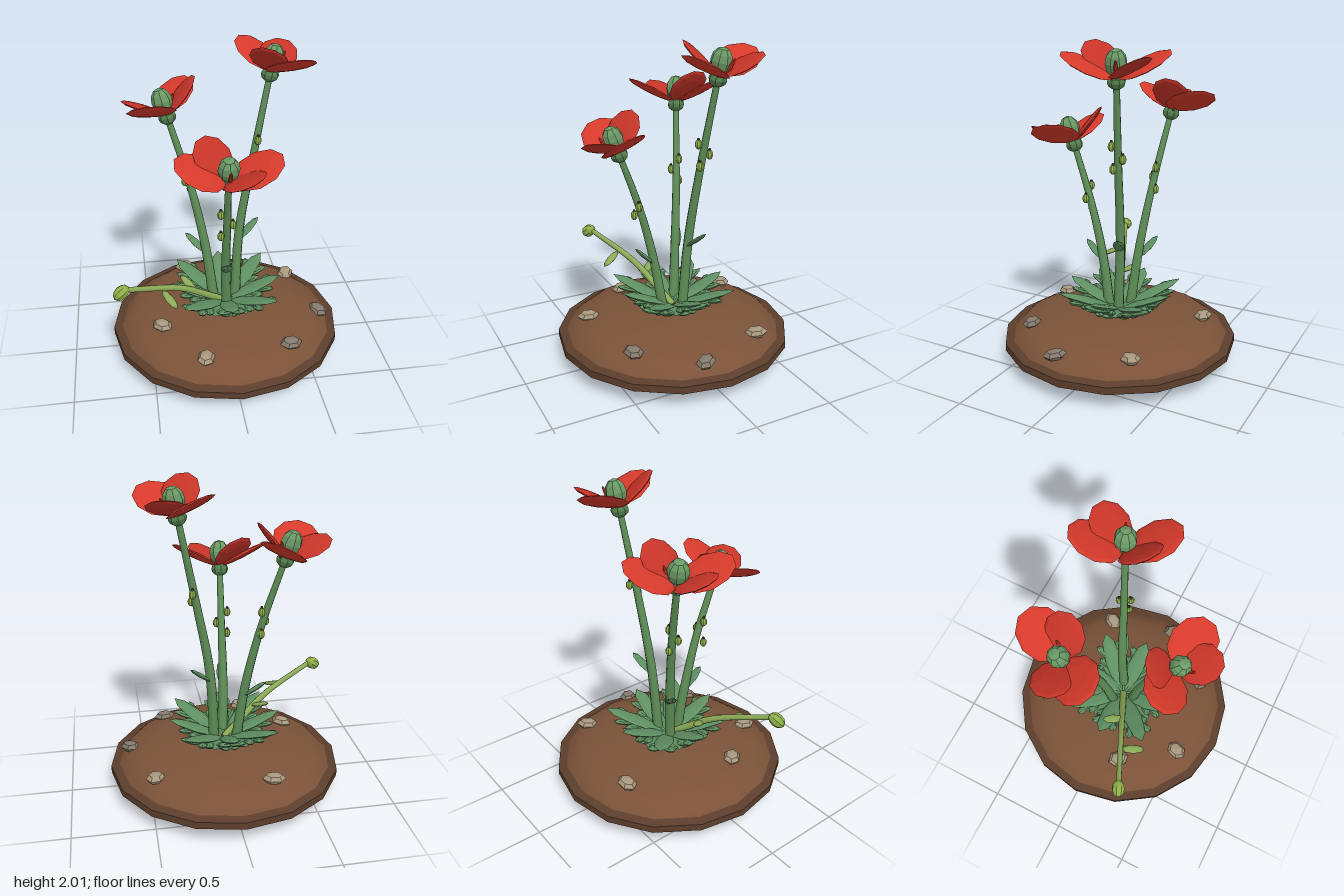
import * as THREE from 'three';
import { toCreasedNormals } from 'three/addons/utils/BufferGeometryUtils.js';

const V = (x, y, z) => new THREE.Vector3(x, y, z);
const UP = V(0, 1, 0);
const paint = (color, flatShading = true) =>
  new THREE.MeshStandardMaterial({ color, flatShading, side: THREE.DoubleSide });

const MAT = {
  soil: paint(0x7a5238, false), rim: paint(0x5c3e2c, false), under: paint(0x4a3224, false),
  stem: paint(0x5f8f58, false), leaf: paint(0x5f8f62), pod: paint(0x6b9a66), calyx: paint(0x55804f),
  petal: paint(0xd63a2b), inner: paint(0xc63428), lime: paint(0x8fb04a), young: paint(0x8cab58, false),
  tip: paint(0x3c3a20), tan: paint(0xa8987f), grey: paint(0x857a6d),
};

// Unit ellipsoids: y runs along the part, x is its width, z its thickness
const disc = new THREE.SphereGeometry(1, 10, 6).rotateX(Math.PI / 2);
const blade = new THREE.SphereGeometry(1, 8, 4).rotateX(Math.PI / 2);
const egg = new THREE.SphereGeometry(1, 8, 6);
const pebble = new THREE.SphereGeometry(1, 6, 4);

// Places a part with its length along axis and its thin side facing normal
function place(parent, name, geo, mat, pos, size, axis = UP, normal = V(0, 0, 1)) {
  const y = axis.clone().normalize();
  let x = y.clone().cross(normal);
  if (x.lengthSq() < 1e-4) x = y.clone().cross(V(1, 0, 0));
  x.normalize();
  const z = x.clone().cross(y);
  const m = new THREE.Mesh(geo, mat);
  m.name = name;
  m.position.copy(pos);
  m.quaternion.setFromRotationMatrix(new THREE.Matrix4().makeBasis(x, y, z));
  m.scale.set(...size);
  parent.add(m);
  return m;
}

// Flat leaf stretched between two points, facing upwards
function leafBetween(parent, name, mat, a, b, width, thick = 0.014) {
  const d = b.clone().sub(a);
  place(parent, name, blade, mat, a.clone().lerp(b, 0.5), [width, d.length() / 2, thick], d, UP);
}

// Tapered round stem through a few points
function stem(parent, name, mat, points, r0, r1) {
  const curve = new THREE.CatmullRomCurve3(points);
  const N = 12, R = 8;
  const geo = new THREE.TubeGeometry(curve, N, 1, R, false);
  const p = geo.attributes.position;
  for (let i = 0; i <= N; i++) {
    const c = curve.getPointAt(i / N), r = r0 + (r1 - r0) * (i / N);
    for (let j = 0; j <= R; j++) {
      const k = i * (R + 1) + j;
      const v = V().fromBufferAttribute(p, k).sub(c).multiplyScalar(r).add(c);
      p.setXYZ(k, v.x, v.y, v.z);
    }
  }
  const m = new THREE.Mesh(geo, mat);
  m.name = name;
  parent.add(m);
  return curve;
}

function lathe(parent, name, mat, profile) {
  const geo = new THREE.LatheGeometry(profile.map(([r, y]) => new THREE.Vector2(r, y)), 16);
  const m = new THREE.Mesh(toCreasedNormals(geo, 0.5), mat);
  m.name = name;
  parent.add(m);
}

function flower(name, f) {
  const g = new THREE.Group();
  g.name = name;
  const curve = stem(g, 'flowerStem', MAT.stem, f.path, 0.034, 0.019);
  const u = curve.getTangentAt(1);
  const base = f.path[f.path.length - 1].clone();
  place(g, 'calyx', egg, MAT.calyx, base.clone().addScaledVector(u, 0.01), [0.055, 0.045, 0.055], u);
  place(g, 'seedPod', egg, MAT.pod, base.clone().addScaledVector(u, 0.115), [0.064, 0.08, 0.064], u);

  // Wide outer pair and steeper inner pair of petals
  const root = base.clone().addScaledVector(u, 0.025);
  for (const [turn, lift, length, width, mat] of [
    [0, 26, 0.33, 0.142, MAT.petal], [180, 26, 0.33, 0.142, MAT.petal],
    [52, 36, 0.28, 0.122, MAT.inner], [232, 36, 0.28, 0.122, MAT.inner]]) {
    const a = THREE.MathUtils.degToRad(f.yaw + turn), e = THREE.MathUtils.degToRad(lift);
    const out = V(Math.cos(a), 0, Math.sin(a)).projectOnPlane(u).normalize();
    const dir = out.clone().multiplyScalar(Math.cos(e)).addScaledVector(u, Math.sin(e));
    const nrm = u.clone().multiplyScalar(Math.cos(e)).addScaledVector(out, -Math.sin(e));
    place(g, 'petal', disc, mat, root.clone().addScaledVector(dir, length / 2 + 0.01),
      [width, length / 2, 0.018], dir, nrm);
  }

  // Single filament beside the pod
  const side = f.filament.clone().normalize();
  place(g, 'filament', egg, MAT.petal, root.clone().addScaledVector(u, 0.06).addScaledVector(side, 0.066),
    [0.012, 0.06, 0.012], u.clone().addScaledVector(side, 0.35));

  // Seed buds and one leaf along the stem
  for (const [x, y, z] of f.buds) {
    place(g, 'seedBud', egg, MAT.lime, V(x, y, z), [0.022, 0.03, 0.022]);
    place(g, 'seedBudTip', egg, MAT.tip, V(x, y + 0.03, z), [0.009, 0.009, 0.009]);
  }
  leafBetween(g, 'stemLeaf', MAT.leaf, f.leaf[0], f.leaf[1], 0.036);
  return g;
}

// One lobed ground leaf pointing outwards
function groundLeaf(parent, angle, reach, rise) {
  const g = new THREE.Group();
  g.name = 'groundLeaf';
  const out = V(Math.cos(angle), 0, Math.sin(angle));
  const side = V(-out.z, 0, out.x);
  const at = (t, s) => out.clone().multiplyScalar(t * reach).addScaledVector(side, s)
    .add(V(0, 0.31 + rise * t * t, 0));
  leafBetween(g, 'leafBlade', MAT.leaf, at(0.05, 0), at(1, 0), 0.06, 0.018);
  for (const s of [-1, 1])
    for (const t of [0.3, 0.5, 0.68])
      leafBetween(g, 'leafLobe', MAT.leaf, at(t - 0.1, 0), at(t + 0.17, s * 0.085), 0.03, 0.016);
  parent.add(g);
}

export function createModel() {
  const model = new THREE.Group();
  model.name = 'pottedFlowerPatch';

  // Round earth base
  lathe(model, 'baseUnderside', MAT.under, [[0, 0], [0.35, 0.025], [0.56, 0.055], [0.74, 0.11]]);
  lathe(model, 'baseRim', MAT.rim, [[0.74, 0.11], [0.74, 0.155], [0.685, 0.165]]);
  lathe(model, 'soilMound', MAT.soil,
    [[0.685, 0.165], [0.65, 0.2], [0.6, 0.235], [0.46, 0.266], [0.22, 0.292], [0, 0.3]]);

  // Stones around the mound
  [[-0.22, 0.27, -0.49, MAT.tan], [0.48, 0.25, -0.33, MAT.tan], [0.61, 0.23, 0.1, MAT.grey],
    [0.35, 0.25, 0.44, MAT.grey], [-0.19, 0.255, 0.51, MAT.tan], [-0.43, 0.275, 0.18, MAT.tan],
  ].forEach(([x, y, z, mat], i) => {
    place(model, 'stone', pebble, mat, V(x, y, z), [0.072, 0.032, 0.055]).rotation.set(0.08, i * 1.1, 0.05);
  });

  // Leaf rosette: long leaves with short ones between them
  const rosette = new THREE.Group();
  rosette.name = 'leafRosette';
  for (let i = 0; i < 8; i++) {
    const a = (i * Math.PI) / 4;
    groundLeaf(rosette, a, i % 2 ? 0.41 : 0.36, 0.15);
    groundLeaf(rosette, a + Math.PI / 8, 0.27, 0.05);
  }
  model.add(rosette);

  // Three open flowers
  model.add(flower('tallFlower', {
    path: [V(0.07, 0.29, -0.03), V(0.1, 0.8, -0.06), V(0.18, 1.25, -0.09), V(0.285, 1.785, -0.135)],
    yaw: -118, filament: V(1, 0, -0.5),
    buds: [[0.21, 1.41, -0.06], [0.21, 1.34, -0.135], [0.21, 1.275, -0.07]],
    leaf: [V(0.09, 0.73, -0.05), V(0.23, 0.85, -0.11)],
  }));
  model.add(flower('leftFlower', {
    path: [V(-0.07, 0.29, -0.04), V(-0.12, 0.7, -0.08), V(-0.2, 1.1, -0.13), V(-0.32, 1.53, -0.19)],
    yaw: -62, filament: V(1, 0, -0.6),
    buds: [[-0.2, 1.21, -0.15], [-0.235, 1.14, -0.11], [-0.2, 1.07, -0.15]],
    leaf: [V(-0.11, 0.63, -0.08), V(-0.24, 0.75, -0.15)],
  }));
  model.add(flower('frontFlower', {
    path: [V(0, 0.29, 0.07), V(-0.015, 0.65, 0.13), V(-0.02, 1.0, 0.22), V(-0.03, 1.33, 0.335)],
    yaw: 183, filament: V(0, 0, 1),
    buds: [[-0.06, 1.08, 0.235], [0.012, 1.01, 0.235], [-0.06, 0.935, 0.235]],
    leaf: [V(-0.015, 0.61, 0.13), V(-0.02, 0.73, 0.25)],
  }));

  // Unopened flower on a leaning stalk
  const young = new THREE.Group();
  young.name = 'youngBud';
  const stalk = [V(0, 0.3, 0), V(-0.13, 0.4, 0.06), V(-0.3, 0.52, 0.138), V(-0.64, 0.65, 0.295)];
  stem(young, 'budStalk', MAT.young, stalk, 0.024, 0.016);
  place(young, 'closedBud', egg, MAT.lime, V(-0.67, 0.64, 0.307), [0.042, 0.056, 0.042], V(-0.7, -0.5, 0.32));
  leafBetween(young, 'budLeaf', MAT.young, V(-0.42, 0.56, 0.2), V(-0.34, 0.5, 0.33), 0.03);
  leafBetween(young, 'budLeaf', MAT.young, V(-0.29, 0.52, -0.01), V(-0.2, 0.46, 0.11), 0.03);
  model.add(young);

  return model;
}
